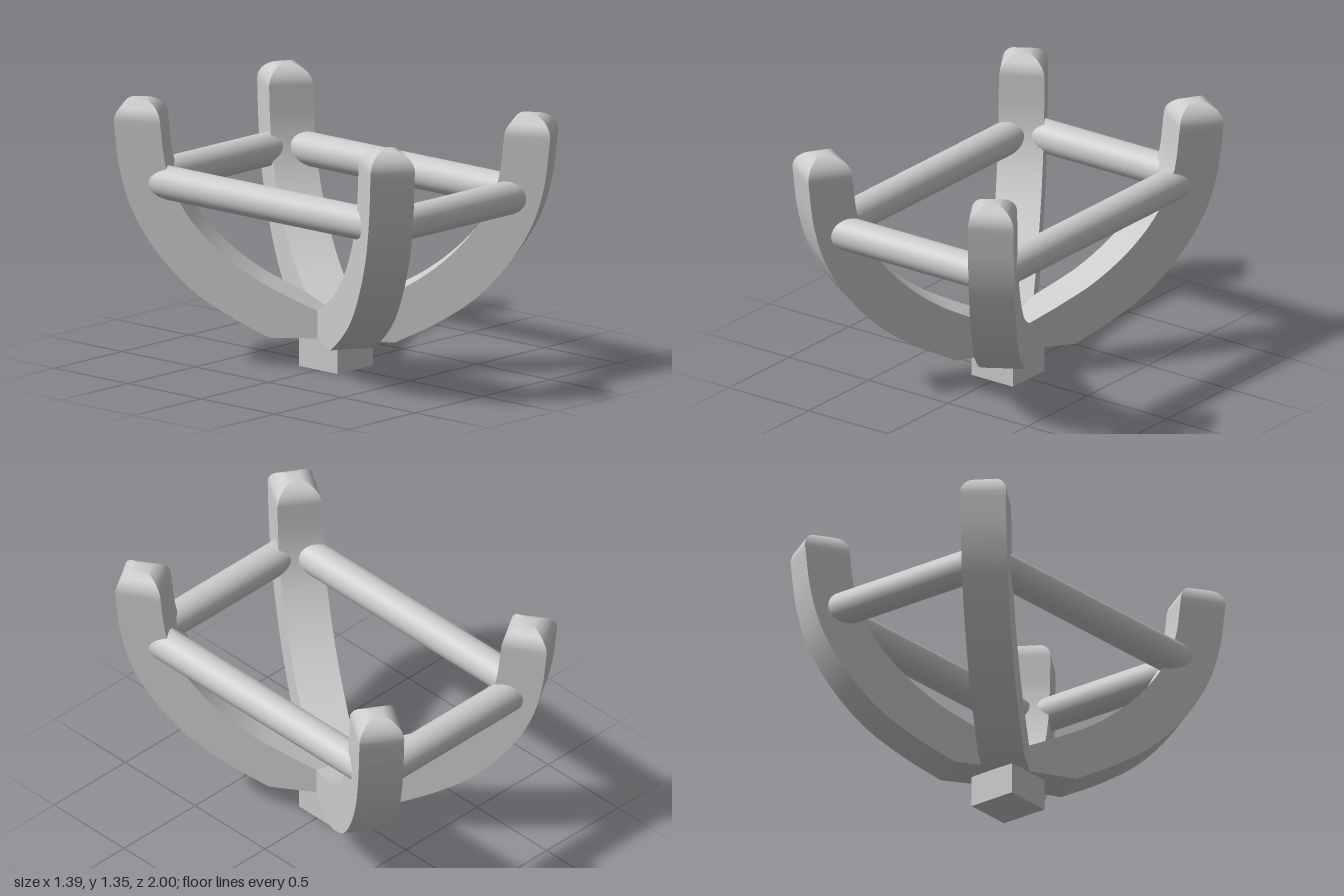
import * as THREE from 'three';
import { toCreasedNormals } from 'three/addons/utils/BufferGeometryUtils.js';

const HALF = 0.115; // half the width of a prong
const curve = pts => new THREE.CatmullRomCurve3(pts.map(([r, y]) => new THREE.Vector3(r, y, 0)));

// One prong: a square section swept outward and up, closed by a mitred dome
function prongGeometry() {
  const outer = curve([[0.32, 0.157], [0.53, 0.264], [0.73, 0.4], [0.91, 0.6], [1.025, 0.8], [1.083, 1.0], [1.112, 1.24]]);
  const inner = curve([[0.21, 0.365], [0.41, 0.468], [0.585, 0.6], [0.71, 0.735], [0.8, 0.88], [0.85, 1.03], [0.877, 1.24]]);
  const rings = [];
  const addRing = (o, i, h) => rings.push([[o.x, o.y, -h], [o.x, o.y, h], [i.x, i.y, h], [i.x, i.y, -h]]);

  // Root at the centre, then the curved arm
  addRing({ x: 0, y: 0.165 }, { x: 0, y: 0.272 }, HALF);
  const steps = 36;
  for (let s = 0; s <= steps; s++) addRing(outer.getPoint(s / steps), inner.getPoint(s / steps), HALF);

  // Dome: the square shrinks along a quarter ellipse
  const mid = (1.112 + 0.877) / 2, half = (1.112 - 0.877) / 2;
  for (let s = 1; s <= 12; s++) {
    const a = (s / 12) * Math.PI / 2, k = Math.max(Math.cos(a), 0.001), y = 1.24 + 0.105 * Math.sin(a);
    addRing({ x: mid + half * k, y }, { x: mid - half * k, y }, HALF * k);
  }

  const pos = [];
  for (let n = 0; n < rings.length - 1; n++) {
    for (let j = 0; j < 4; j++) {
      const k = (j + 1) % 4;
      const a = rings[n][j], b = rings[n][k], c = rings[n + 1][k], d = rings[n + 1][j];
      pos.push(...a, ...d, ...c, ...a, ...c, ...b);
    }
  }
  const g = new THREE.BufferGeometry();
  g.setAttribute('position', new THREE.Float32BufferAttribute(pos, 3));
  return toCreasedNormals(g, 0.42);
}

export function createModel() {
  const model = new THREE.Group();
  const mat = new THREE.MeshStandardMaterial({ color: 0xcccccc });
  const add = (name, geometry) => {
    const mesh = new THREE.Mesh(geometry, mat);
    mesh.name = name;
    model.add(mesh);
    return mesh;
  };

  // Square foot
  add('base', new THREE.BoxGeometry(0.262, 0.2, 0.262)).position.y = 0.1;

  // Four prongs reaching towards the corners of a rectangle
  const prong = prongGeometry();
  for (const [x, z, name] of [[1, 1, 'frontLeft'], [-1, 1, 'frontRight'], [1, -1, 'backLeft'], [-1, -1, 'backRight']]) {
    add(name + 'Prong', prong).rotation.y = Math.atan2(-0.843 * z, 0.538 * x);
  }

  // Round rails joining neighbouring prongs
  const rail = length => new THREE.CylinderGeometry(0.086, 0.086, length, 48);
  for (const s of [1, -1]) {
    const across = add(s > 0 ? 'frontRail' : 'backRail', rail(1.0));
    across.rotation.z = Math.PI / 2;
    across.position.set(0, 0.925, 0.81 * s);
    const along = add(s > 0 ? 'leftRail' : 'rightRail', rail(1.6));
    along.rotation.x = Math.PI / 2;
    along.position.set(0.515 * s, 0.925, 0);
  }
  return model;
}
